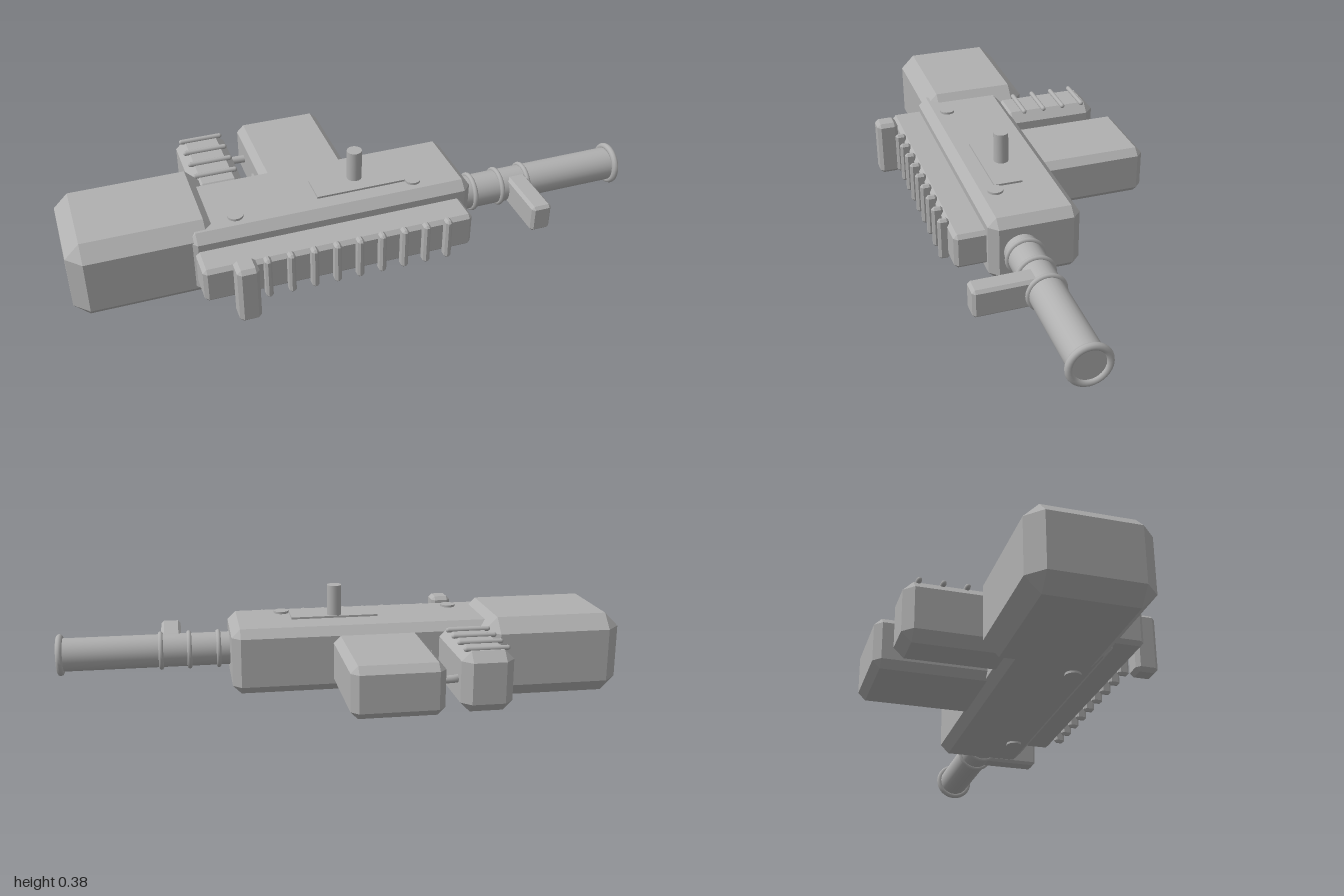
import * as THREE from 'three';
import { ConvexGeometry } from 'three/addons/geometries/ConvexGeometry.js';

const grey = new THREE.MeshStandardMaterial({ color: 0xb0b0b0 });
grey.name = 'grey';

// Box with every edge and corner cut flat, given by its x, y and z ranges
function chamferBox([x0, x1], [y0, y1], [z0, z1], bevel) {
  const centre = new THREE.Vector3(x0 + x1, y0 + y1, z0 + z1).multiplyScalar(0.5);
  const h = [(x1 - x0) / 2, (y1 - y0) / 2, (z1 - z0) / 2];
  const points = [];
  for (const sx of [-1, 1]) for (const sy of [-1, 1]) for (const sz of [-1, 1]) {
    for (let axis = 0; axis < 3; axis++) {
      const c = h.map((v, i) => (i === axis ? v : v - bevel));
      points.push(new THREE.Vector3(sx * c[0], sy * c[1], sz * c[2]).add(centre));
    }
  }
  return new ConvexGeometry(points);
}

export function createModel() {
  const group = new THREE.Group();
  group.name = 'device';

  const add = (name, geometry, x = 0, y = 0, z = 0) => {
    const mesh = new THREE.Mesh(geometry, grey);
    mesh.name = name;
    mesh.position.set(x, y, z);
    group.add(mesh);
    return mesh;
  };

  // Large blocks
  add('body', chamferBox([-0.615, 0.385], [0.03, 0.265], [-0.067, 0.25], 0.03));
  add('stock', chamferBox([-1, -0.5], [0, 0.29], [-0.157, 0.235], 0.05));
  add('magazine', chamferBox([-0.285, 0.03], [0.055, 0.235], [-0.445, -0.03], 0.025));
  add('grip', chamferBox([-0.53, -0.35], [0.04, 0.25], [-0.4, -0.035], 0.033));

  // Ridges across the grip
  for (let i = 0; i < 4; i++) {
    const ridge = add('gripRidge', new THREE.CapsuleGeometry(0.009, 0.142, 4, 10),
      -0.44, 0.253, -0.117 - i * 0.078);
    ridge.rotation.z = Math.PI / 2;
  }

  // Trigger and its guard
  const guardPath = new THREE.CatmullRomCurve3([
    new THREE.Vector3(-0.37, 0.145, -0.315),
    new THREE.Vector3(-0.335, 0.145, -0.33),
    new THREE.Vector3(-0.27, 0.145, -0.33),
  ]);
  add('triggerGuard', new THREE.TubeGeometry(guardPath, 12, 0.014, 10));
  const trigger = add('trigger', new THREE.BoxGeometry(0.025, 0.04, 0.15), -0.298, 0.145, -0.12);
  trigger.rotation.y = -0.25;

  // Side panel with upright ribs and an end block
  add('sidePanel', chamferBox([-0.595, 0.34], [0.083, 0.21], [0.235, 0.358], 0.013));
  for (let i = 0; i < 9; i++) {
    const x = -0.387 + i * 0.0785;
    add('panelRib', chamferBox([x - 0.012, x + 0.012], [0.073, 0.225], [0.35, 0.388], 0.008));
  }
  add('panelBlock', chamferBox([-0.503, -0.43], [0.043, 0.25], [0.368, 0.445], 0.013));

  // Barrel with rings, rim and a short foregrip
  const barrel = add('barrel', new THREE.CylinderGeometry(0.06, 0.06, 0.64, 28), 0.67, 0.147, 0.145);
  barrel.rotation.z = Math.PI / 2;
  const ring = (name, x, radius, tube) => {
    const mesh = add(name, new THREE.TorusGeometry(radius, tube, 10, 32), x, 0.147, 0.145);
    mesh.rotation.y = Math.PI / 2;
  };
  for (const x of [0.425, 0.53, 0.632]) ring('barrelRing', x, 0.061, 0.009);
  ring('barrelRim', 0.988, 0.0635, 0.012);
  add('foregrip', chamferBox([0.557, 0.63], [0.098, 0.198], [0.16, 0.38], 0.01));

  // Top plate, knob and screw discs above and below
  add('topPlate', new THREE.BoxGeometry(0.315, 0.01, 0.1), 0.005, 0.267, 0.117);
  add('knob', new THREE.CylinderGeometry(0.026, 0.026, 0.12, 20), 0.004, 0.322, 0.094);
  for (const x of [-0.44, 0.19]) for (const y of [0.266, 0.029]) {
    add('screwDisc', new THREE.CylinderGeometry(0.027, 0.027, 0.014, 20), x, y, 0.172);
  }
  return group;
}
